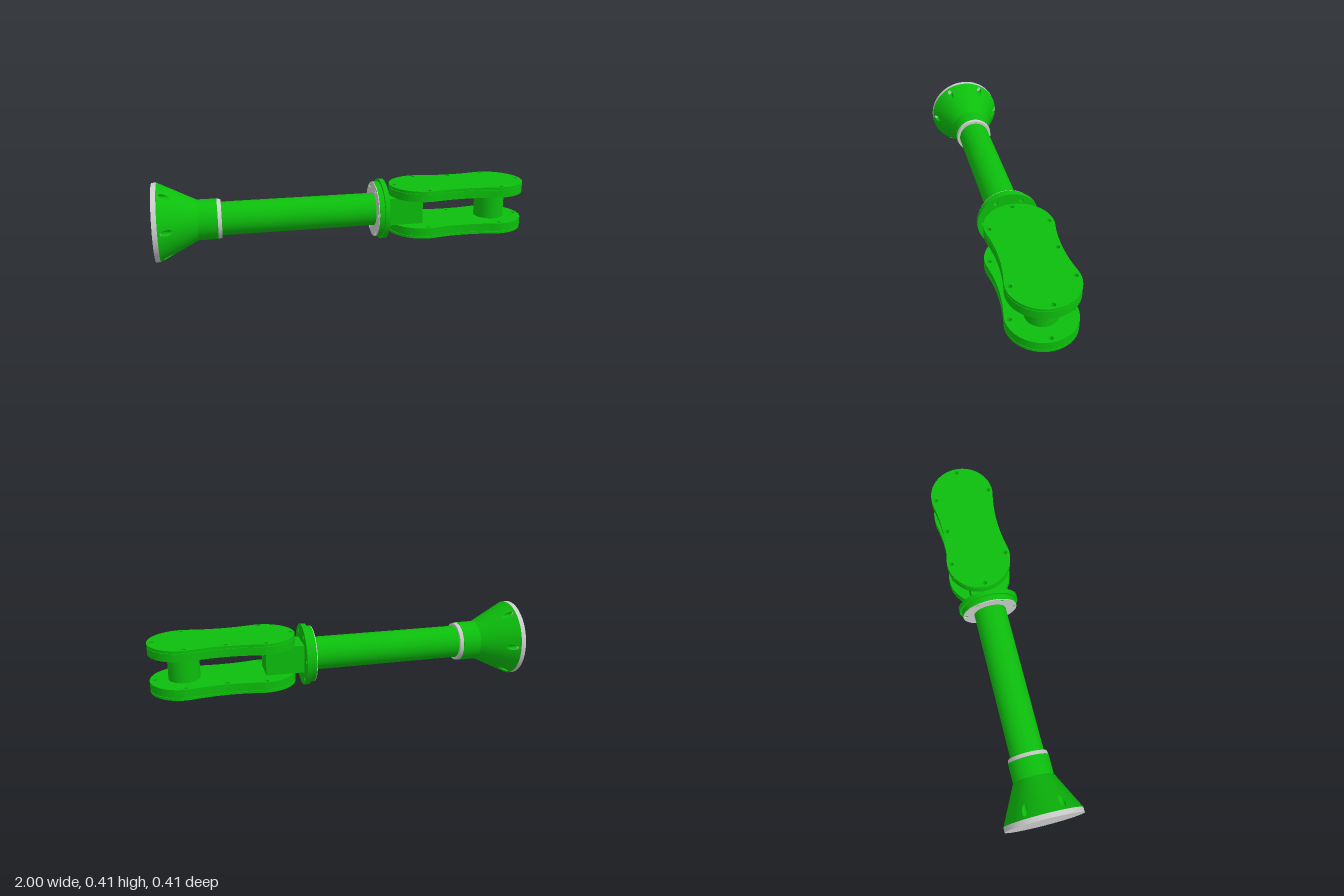
import * as THREE from 'three';

const AXIS = 0.204; // height of the shaft axis
const green = new THREE.MeshStandardMaterial({ color: 0x0cbe0c });
const greenThin = new THREE.MeshStandardMaterial({ color: 0x0cbe0c, side: THREE.DoubleSide });
const grey = new THREE.MeshStandardMaterial({ color: 0xcccccc });

// Foot cone: x position of its surface at a given radius
const FOOT_R = 0.204, NECK_R = 0.106, FOOT_X = -0.975, NECK_X = -0.78;
const SLOPE = (NECK_X - FOOT_X) / (FOOT_R - NECK_R);
const coneX = r => FOOT_X + (FOOT_R - r) * SLOPE;

export function createModel() {
  const model = new THREE.Group();

  function add(name, geometry, material, parent = model) {
    const mesh = new THREE.Mesh(geometry, material);
    mesh.name = name;
    parent.add(mesh);
    return mesh;
  }

  // Round part along x, from x0 (radius r0) to x1 (radius r1)
  function round(name, x0, x1, r0, r1, material, open = false) {
    const g = new THREE.CylinderGeometry(r1, r0, x1 - x0, 72, 1, open);
    g.rotateZ(-Math.PI / 2).translate((x0 + x1) / 2, AXIS, 0);
    return add(name, g, material);
  }

  function hole(shape, x, y, r) {
    shape.holes.push(new THREE.Path().absarc(x, y, r, 0, Math.PI * 2, true));
  }

  // Angles of six evenly spaced bolts
  const boltAngles = Array.from({ length: 6 }, (_, i) => i * Math.PI / 3);

  // Shaft
  const SPLIT_R = 0.16;
  round('footPlate', -1, FOOT_X, FOOT_R, FOOT_R, grey);
  round('footCone', coneX(SPLIT_R), NECK_X, SPLIT_R, NECK_R, greenThin, true);
  round('collar', NECK_X, -0.68, NECK_R, NECK_R, green);
  round('collarRing', -0.68, -0.66, 0.105, 0.102, grey);
  round('tube', -0.67, 0.18, 0.088, 0.088, green);

  // Lift a flat geometry onto the cone and turn it to face along x
  function ontoCone(g) {
    const pos = g.attributes.position, nor = g.attributes.normal;
    const n = new THREE.Vector3();
    for (let i = 0; i < pos.count; i++) {
      const x = pos.getX(i), y = pos.getY(i), r = Math.hypot(x, y);
      pos.setZ(i, coneX(r));
      n.set(SLOPE * x / r, SLOPE * y / r, 1).normalize();
      nor.setXYZ(i, n.x, n.y, n.z);
    }
    return g.rotateY(Math.PI / 2).translate(0, AXIS, 0);
  }

  // Wide end of the cone: plain sectors alternating with pierced patches,
  // each with a pocket parallel to the shaft and a bolt inside
  const pocketR = 0.015, half = Math.PI / 30;
  for (const a of boltAngles) {
    const x = 0.183 * Math.cos(a), y = 0.183 * Math.sin(a);

    add('footSkirt', ontoCone(new THREE.RingGeometry(SPLIT_R, FOOT_R, 10, 1,
      a + half, Math.PI / 3 - 2 * half)), greenThin);

    const patch = new THREE.Shape();
    patch.absarc(0, 0, FOOT_R, a - half, a + half, false);
    patch.absarc(0, 0, SPLIT_R, a + half, a - half, true);
    hole(patch, x, y, pocketR);
    add('footSkirtPatch', ontoCone(new THREE.ShapeGeometry(patch, 12)), greenThin);

    const wall = new THREE.CylinderGeometry(pocketR, pocketR, 0.02, 24, 1, true);
    wall.rotateX(Math.PI / 2).translate(x, y, 0);
    const p = wall.attributes.position;
    for (let i = 0; i < p.count; i++) {
      p.setZ(i, p.getZ(i) > 0 ? coneX(Math.hypot(p.getX(i), p.getY(i))) : FOOT_X);
    }
    wall.rotateY(Math.PI / 2).translate(0, AXIS, 0);
    add('boltPocket', wall, greenThin);

    const bolt = new THREE.CylinderGeometry(0.0115, 0.0115, 0.014, 24);
    bolt.rotateZ(-Math.PI / 2).translate(FOOT_X + 0.006, AXIS + y, -x);
    add('footBolt', bolt, grey);
  }

  // Flange discs with through holes
  function disc(name, x0, x1, radius, inner, material) {
    const s = new THREE.Shape().absarc(0, 0, radius, 0, Math.PI * 2);
    if (inner) hole(s, 0, 0, inner);
    boltAngles.forEach(a => hole(s, 0.133 * Math.cos(a), 0.133 * Math.sin(a), 0.011));
    const g = new THREE.ExtrudeGeometry(s, { depth: x1 - x0, bevelEnabled: false, curveSegments: 32 });
    g.rotateY(Math.PI / 2).translate(x0, AXIS, 0);
    add(name, g, material);
  }
  disc('flangeGasket', 0.153, 0.157, 0.149, 0.08, grey);
  disc('rearFlange', 0.157, 0.185, 0.15, 0.08, green);
  disc('frontFlange', 0.185, 0.21, 0.163, 0, green);

  // Fork: mounting block and post between two waisted plates
  add('forkBlock', new THREE.BoxGeometry(0.21, 0.148, 0.16).translate(0.307, AXIS, 0), green);
  add('forkPost', new THREE.CylinderGeometry(0.081, 0.081, 0.15, 64).translate(0.825, AXIS, 0), green);

  // Two round ends joined by tangent concave arcs; inset shrinks the outline
  function plateShape(inset) {
    const xa = 0.42, xb = 0.827, xm = (xa + xb) / 2;
    const r = 0.173 - inset, R = 0.823 + inset, Z = 0.975;
    const a = Math.atan2(Z, xm - xa), PI = Math.PI;
    const s = new THREE.Shape();
    s.absarc(xa, 0, r, a, 2 * PI - a, false);
    s.absarc(xm, -Z, R, PI - a, a, true);
    s.absarc(xb, 0, r, a - PI, PI - a, false);
    s.absarc(xm, Z, R, -a, a - PI, true);
    const holes = [[0.42, 0.15], [0.825, 0.15], [0.42, -0.15], [0.825, -0.15],
      [0.62, 0.13], [0.27, 0], [0.975, 0]];
    holes.forEach(([x, y]) => hole(s, x, y, 0.011));
    return s;
  }

  // Each plate: thick body, narrow groove, thin cover (distances from the axis)
  const layers = [['Body', 0.073, 0.115, 0], ['Groove', 0.115, 0.118, 0.005], ['Cover', 0.118, 0.13, 0]];
  for (const [side, dir] of [['upper', 1], ['lower', -1]]) {
    const plate = new THREE.Group();
    plate.name = side + 'ForkPlate';
    for (const [part, d0, d1, inset] of layers) {
      const g = new THREE.ExtrudeGeometry(plateShape(inset),
        { depth: d1 - d0, bevelEnabled: false, curveSegments: 24 });
      g.rotateX(-Math.PI / 2).translate(0, AXIS + (dir > 0 ? d0 : -d1), 0);
      add(side + part, g, green, plate);
    }
    model.add(plate);
  }

  return model;
}
